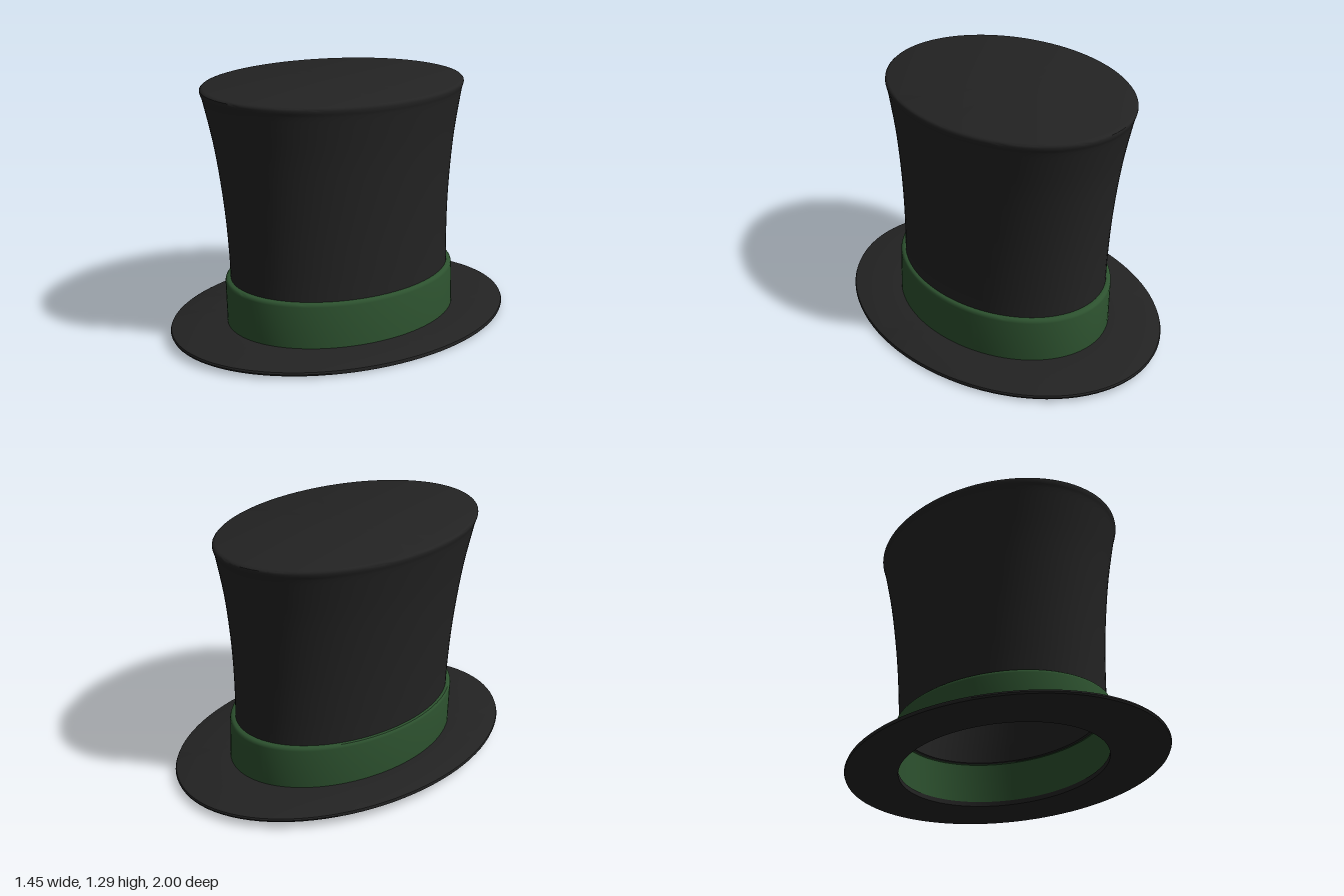
import * as THREE from 'three';
import { toCreasedNormals } from 'three/addons/utils/BufferGeometryUtils.js';

export function createModel() {
  const felt = new THREE.MeshStandardMaterial({ color: 0x232323 });
  felt.name = 'blackFelt';
  const ribbon = new THREE.MeshStandardMaterial({ color: 0x2d522f });
  ribbon.name = 'greenRibbon';

  const hat = new THREE.Group();
  hat.name = 'topHat';

  // Oval plan with a slight jaunty skew, shared by every part
  const skew = new THREE.Matrix4().set(
    1, -0.034, 0, 0,
    -0.033, 1, 0, 0,
    0, 0.008, 1.377, 0,
    0, 0, 0, 1
  );

  function turned(name, points, material) {
    const profile = points.map(([r, y]) => new THREE.Vector2(r, y));
    const geometry = new THREE.LatheGeometry(profile, 96).applyMatrix4(skew);
    const mesh = new THREE.Mesh(toCreasedNormals(geometry, 0.7), material);
    mesh.name = name;
    hat.add(mesh);
  }

  // Thin flat brim with a softened rim and an open centre
  turned('brim', [
    [0.472, 0.024], [0.715, 0.024], [0.723, 0.027], [0.726, 0.036],
    [0.723, 0.045], [0.715, 0.049], [0.472, 0.049], [0.472, 0.024],
  ], felt);

  // Ribbon band, visible inside and out, with a rounded top edge
  turned('band', [
    [0.476, 0.045], [0.493, 0.045], [0.493, 0.262], [0.491, 0.272],
    [0.485, 0.279], [0.472, 0.281], [0.455, 0.279], [0.476, 0.262], [0.476, 0.045],
  ], ribbon);

  // Flaring wall of the crown
  const wall = new THREE.SplineCurve([
    [0.471, 0.265], [0.472, 0.4], [0.479, 0.6], [0.493, 0.8],
    [0.514, 1.0], [0.545, 1.2], [0.554, 1.24],
  ].map(([r, y]) => new THREE.Vector2(r, y))).getPoints(24).map((p) => [p.x, p.y]);
  const lining = wall.map(([r, y]) => [r - 0.017, y]).reverse();

  // Hollow crown: lining down, wall up, rounded shoulder, flat top
  turned('crown', [
    [0, 1.245], ...lining, ...wall,
    [0.557, 1.254], [0.556, 1.263], [0.551, 1.269], [0.542, 1.272], [0, 1.272],
  ], felt);

  return hat;
}
